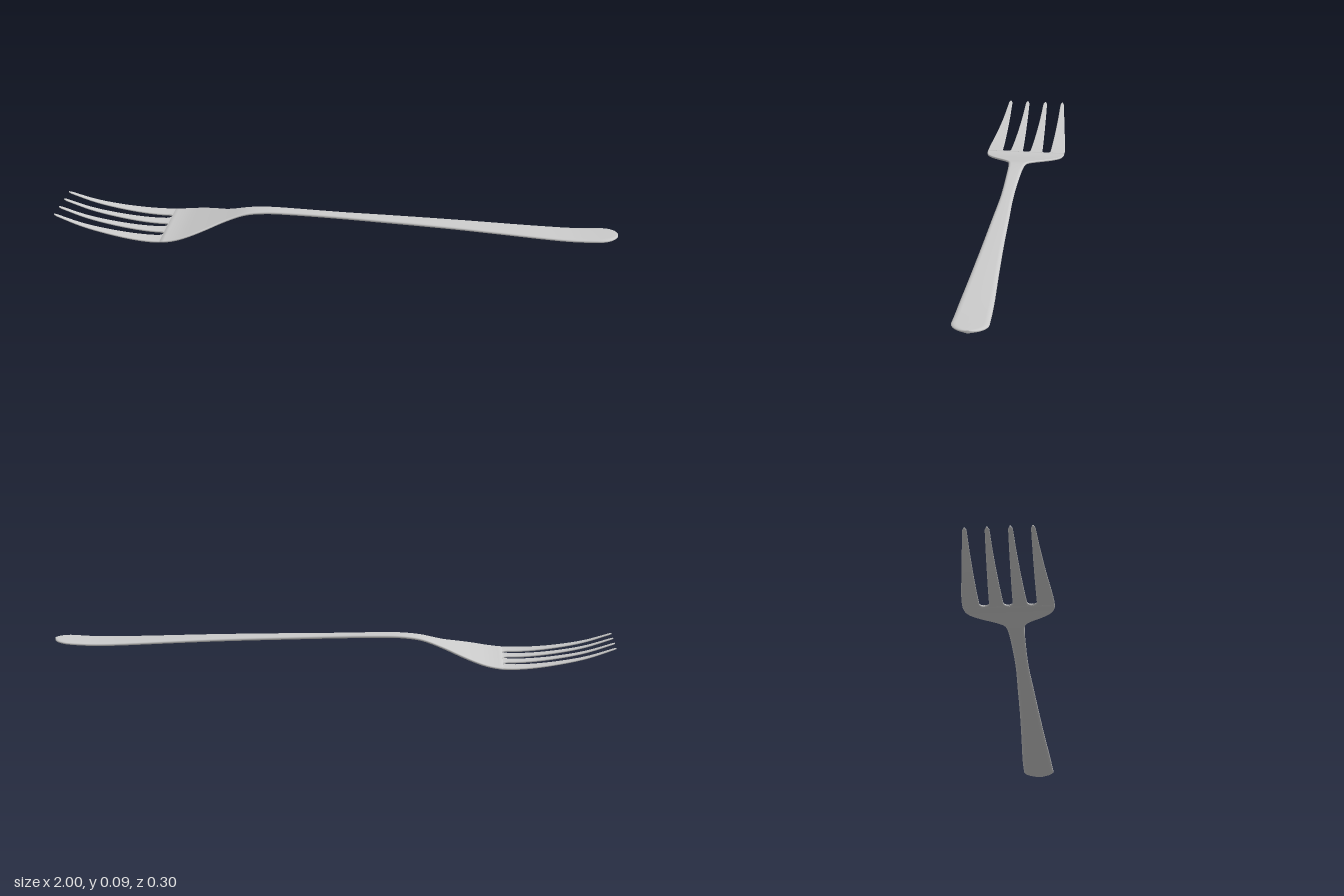
import * as THREE from 'three';

// smooth interpolation through [x, value] pairs
function curve(pts) {
  const slope = i => {
    const a = pts[Math.max(i - 1, 0)], b = pts[Math.min(i + 1, pts.length - 1)];
    return (b[1] - a[1]) / (b[0] - a[0]);
  };
  return x => {
    let i = 0;
    while (i < pts.length - 2 && x > pts[i + 1][0]) i++;
    const [x0, v0] = pts[i], [x1, v1] = pts[i + 1];
    const d = x1 - x0, t = THREE.MathUtils.clamp((x - x0) / d, 0, 1);
    const t2 = t * t, t3 = t2 * t;
    return v0 * (2 * t3 - 3 * t2 + 1) + v1 * (3 * t2 - 2 * t3)
      + d * (slope(i) * (t3 - 2 * t2 + t) + slope(i + 1) * (t3 - t2));
  };
}

// height of the centre line, thickness, and half width of the outline
const height = curve([[-1, 0.075], [-0.9, 0.042], [-0.8, 0.021], [-0.7, 0.008], [-0.62, 0.005], [-0.56, 0.011],
  [-0.5, 0.025], [-0.4, 0.052], [-0.32, 0.074], [-0.25, 0.081], [-0.18, 0.081], [0, 0.075], [0.4, 0.06],
  [0.75, 0.042], [0.85, 0.039], [0.92, 0.041], [1, 0.046]]);
const thickness = curve([[-1, 0.005], [-0.7, 0.007], [-0.55, 0.008], [-0.4, 0.009], [-0.25, 0.012], [0, 0.014],
  [0.6, 0.014], [0.9, 0.013], [1, 0.01]]);
const halfWidth = curve([[-1, 0.112], [-0.8, 0.134], [-0.68, 0.147], [-0.6, 0.15], [-0.55, 0.143], [-0.5, 0.124],
  [-0.45, 0.094], [-0.4, 0.06], [-0.35, 0.04], [-0.3, 0.031], [-0.2, 0.026], [0, 0.0235], [0.2, 0.03],
  [0.4, 0.037], [0.6, 0.046], [0.8, 0.056], [0.94, 0.06]]);
// how far the rounding of the edge reaches inwards
const bevel = curve([[-1, 0.003], [-0.55, 0.004], [-0.4, 0.006], [-0.25, 0.01], [0, 0.011], [0.9, 0.018], [1, 0.018]]);

// closed, round-edged ribbon; edges(x) gives [zMin, zMax]
function ribbon(xs, edges) {
  const pos = [], idx = [], arc = 6, ring = 2 * (arc + 1);
  for (const x of xs) {
    const [z0, z1] = edges(x), mid = (z0 + z1) / 2, half = (z1 - z0) / 2;
    const e = Math.min(bevel(x), half * 0.7), t = thickness(x) / 2, y = height(x);
    for (let k = 0; k < ring; k++) {
      const side = k <= arc ? 1 : -1;
      const a = (side > 0 ? k : k - arc - 1) / arc * Math.PI - Math.PI / 2;
      pos.push(x, y + side * t * Math.sin(a), mid + side * (half - e + e * Math.cos(a)));
    }
  }
  for (let i = 0; i < xs.length - 1; i++) {
    for (let k = 0; k < ring; k++) {
      const a = i * ring + k, b = i * ring + (k + 1) % ring, c = a + ring, d = b + ring;
      idx.push(a, c, b, c, d, b);
    }
  }
  // end caps
  const last = (xs.length - 1) * ring;
  for (let k = 1; k < ring - 1; k++) {
    idx.push(0, k, k + 1, last, last + k + 1, last + k);
  }
  const g = new THREE.BufferGeometry();
  g.setAttribute('position', new THREE.Float32BufferAttribute(pos, 3));
  g.setIndex(idx);
  g.computeVertexNormals();
  return g;
}

const range = (a, b, n) => Array.from({ length: n + 1 }, (_, i) => a + (b - a) * i / n);
const ROOT = -0.61;   // where the slots end
const END = 0.94;     // where the handle starts to round off

// factor closing a slot in a half circle near its root
const slotRound = x => {
  const u = THREE.MathUtils.clamp((x - (ROOT - 0.02)) / 0.02, 0, 1);
  return Math.sqrt(1 - u * u);
};
// slot edges [inner, outer] for the middle and the side slots
const lerpX = (tip, root) => x => THREE.MathUtils.mapLinear(x, -1, ROOT, tip, root);
const middleHalf = lerpX(0.029, 0.014);
const sideInner = lerpX(0.043, 0.063), sideOuter = lerpX(0.099, 0.093);

function sideSlot(x) {
  const a = sideInner(x), b = sideOuter(x), m = (a + b) / 2, h = (b - a) / 2 * slotRound(x);
  return [m - h, m + h];
}

export function createModel() {
  const group = new THREE.Group();
  const material = new THREE.MeshStandardMaterial({ color: 0xcccccc, roughness: 0.5 });
  const add = (name, geometry) => {
    const mesh = new THREE.Mesh(geometry, material);
    mesh.name = name;
    group.add(mesh);
  };

  // palm, neck and handle in one sweep with a rounded end
  const endXs = range(0, Math.PI / 2, 12).slice(1).map(a => END + (1 - END) * Math.sin(a));
  add('handleAndPalm', ribbon([...range(ROOT, END, 110), ...endXs], x => {
    const u = Math.max(0, (x - END) / (1 - END));
    const w = halfWidth(Math.min(x, END)) * Math.sqrt(Math.max(0.004, 1 - u * u));
    return [-w, w];
  }));

  // four tines, mirrored in z
  const tineXs = [-1, -0.997, ...range(-0.99, ROOT - 0.02, 30),
    ...range(0, Math.PI / 2, 8).slice(1).map(a => ROOT - 0.02 + 0.02 * Math.sin(a))];
  const tines = {
    innerTine: x => [middleHalf(x) * slotRound(x), sideSlot(x)[0]],
    outerTine: x => [sideSlot(x)[1], halfWidth(x)],
  };
  for (const [name, edges] of Object.entries(tines)) {
    for (const side of [1, -1]) {
      add(name + (side > 0 ? 'Front' : 'Back'), ribbon(tineXs, x => {
        let [a, b] = edges(x);
        // blunt rounded tip
        const trim = (b - a) * 0.3 * Math.max(0, (-0.99 - x) / 0.01);
        a += trim;
        b -= trim;
        return side > 0 ? [a, b] : [-b, -a];
      }));
    }
  }
  return group;
}
